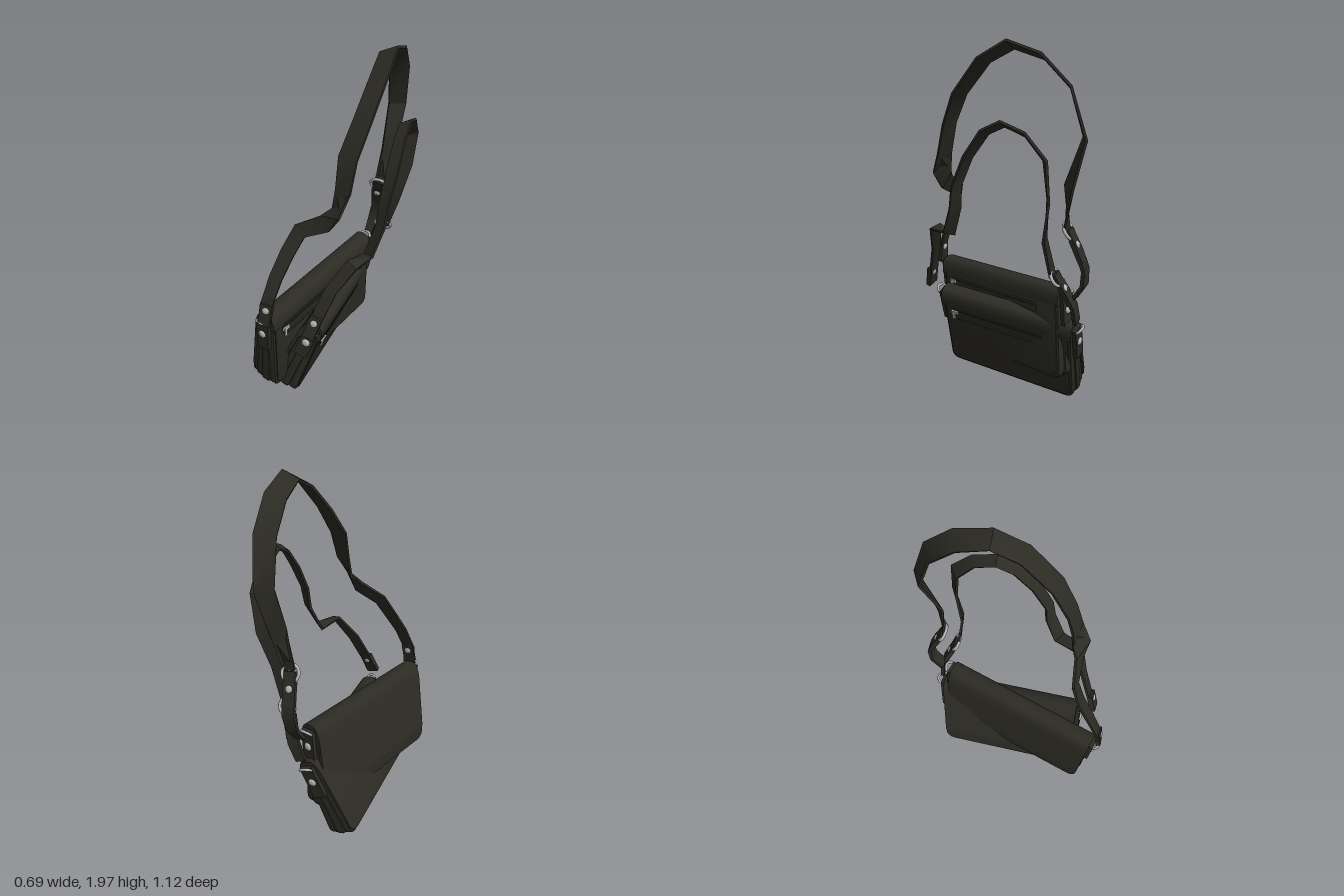
import * as THREE from 'three';
import { toCreasedNormals } from 'three/addons/utils/BufferGeometryUtils.js';

const mat = (name, color, side = THREE.FrontSide) => {
  const m = new THREE.MeshStandardMaterial({ color, side });
  m.name = name;
  return m;
};

export function createModel() {
  const leather = mat('dark olive leather', 0x2c2b24);
  const trim = mat('black trim', 0x1f1f1a);
  const metal = mat('silver metal', 0xb4b5ba);
  const strapMat = mat('dark strap webbing', 0x2b2a23, THREE.DoubleSide);
  const model = new THREE.Group();

  const add = (parent, name, geo, material, x = 0, y = 0, z = 0) => {
    const m = new THREE.Mesh(geo, material);
    m.name = name;
    m.position.set(x, y, z);
    parent.add(m);
    return m;
  };

  // Plate with rounded corners: length along z, height from y = 0, thickness along x
  const plate = (len, h, t, r, bevel = 0) => {
    const a = len / 2 - bevel, b = bevel, c = h - bevel, s = new THREE.Shape();
    s.moveTo(-a + r, b);
    s.lineTo(a - r, b);
    s.quadraticCurveTo(a, b, a, b + r);
    s.lineTo(a, c - r);
    s.quadraticCurveTo(a, c, a - r, c);
    s.lineTo(-a + r, c);
    s.quadraticCurveTo(-a, c, -a, c - r);
    s.lineTo(-a, b + r);
    s.quadraticCurveTo(-a, b, -a + r, b);
    const depth = t - 2 * bevel;
    const g = new THREE.ExtrudeGeometry(s, {
      depth, curveSegments: 4, bevelEnabled: bevel > 0,
      bevelSize: bevel, bevelThickness: bevel, bevelSegments: 2,
    });
    g.translate(0, 0, -depth / 2);
    g.rotateY(-Math.PI / 2);
    return toCreasedNormals(g, 0.6);
  };

  // One satchel, base centred at its origin, zip pocket on +x and flap on -x
  const makeBag = (name, len) => {
    const bag = new THREE.Group();
    bag.name = name;

    // Three compartments fanning out toward the base
    for (const i of [-1, 0, 1]) {
      const c = add(bag, 'compartment', plate(len - Math.abs(i) * 0.02, 0.5, 0.052, 0.035, 0.014), leather, i * 0.049);
      c.rotation.z = i * 0.055;
    }
    // Recessed gusset between the compartments
    add(bag, 'gusset', plate(len - 0.05, 0.46, 0.1, 0.03), leather, 0, 0.02);

    // Flap: one smooth cover over the top and down the back, with a rounded lower edge
    const s = new THREE.Shape();
    s.moveTo(0.062, 0.435);
    s.quadraticCurveTo(0.06, 0.5, 0.035, 0.52);
    s.quadraticCurveTo(0, 0.535, -0.035, 0.52);
    s.quadraticCurveTo(-0.064, 0.5, -0.069, 0.4);
    s.lineTo(-0.087, 0.1);
    s.lineTo(-0.07, 0.1);
    s.lineTo(-0.05, 0.4);
    s.lineTo(0.05, 0.435);
    const cover = new THREE.ExtrudeGeometry(s, { depth: len - 0.01, bevelEnabled: false, curveSegments: 6 });
    cover.translate(0, 0, -(len - 0.01) / 2);
    add(bag, 'flap', toCreasedNormals(cover, 0.7), leather);
    const edge = add(bag, 'flapLowerEdge', plate(len - 0.01, 0.25, 0.012, 0.06, 0.004), leather, -0.083, 0.02);
    edge.rotation.z = -0.06;

    // Front pocket with its zip, stitch line and pull
    const front = new THREE.Group();
    front.name = 'frontPocket';
    front.position.x = 0.075;
    front.rotation.z = 0.055;
    bag.add(front);
    add(front, 'pocketPanel', plate(len - 0.05, 0.43, 0.008, 0.04, 0.003), leather, 0.002, 0.02);
    add(front, 'zipWelt', plate(len * 0.74, 0.056, 0.012, 0.012, 0.003), leather, 0.005, 0.365, 0.04);
    add(front, 'zipSlot', plate(len * 0.71, 0.012, 0.004, 0.005), trim, 0.011, 0.4, 0.04);
    for (let i = 0; i < 30; i++)
      add(front, 'stitch', new THREE.BoxGeometry(0.003, 0.004, 0.011), trim, 0.007, 0.345, 0.04 + (i - 14.5) * len * 0.024);
    add(front, 'zipSlider', new THREE.BoxGeometry(0.012, 0.02, 0.045), metal, 0.015, 0.4, len * 0.39);
    add(front, 'zipPull', new THREE.BoxGeometry(0.008, 0.05, 0.018), metal, 0.018, 0.378, len * 0.4);

    // Riveted tab and ring on each end
    for (const e of [-1, 1]) {
      const z = e * (len / 2 + 0.006);
      add(bag, 'endTab', new THREE.BoxGeometry(0.078, 0.2, 0.024), leather, 0, 0.4, z);
      const stud = add(bag, 'tabRivet', new THREE.SphereGeometry(0.024, 10, 6), metal, 0, 0.405, z + e * 0.012);
      stud.scale.z = 0.5;
      const ring = add(bag, 'tabRing', new THREE.TorusGeometry(0.031, 0.008, 6, 14), metal, 0, 0.49, z + e * 0.014);
      ring.rotation.x = e * 0.8;
    }
    model.add(bag);
    return bag;
  };

  const tall = makeBag('uprightBag', 0.93);
  tall.position.set(-0.15, 0.185, 0.04);
  tall.rotation.set(0.02, -0.28, -0.09, 'YXZ');
  const lean = makeBag('leaningBag', 0.84);
  lean.position.set(-0.187, 0.072, 0.01);
  lean.rotation.set(-0.09, -0.02, -0.375, 'YXZ');

  // Flat strap along points [x, y, z, width, twist], its width starting out along the x axis
  const strap = (name, pts, t) => {
    const P = pts.map(p => new THREE.Vector3(p[0], p[1], p[2]));
    const pos = [], idx = [];
    P.forEach((p, i) => {
      const a = P[Math.max(i - 1, 0)], b = P[Math.min(i + 1, P.length - 1)];
      const tan = b.clone().sub(a).normalize();
      const w = new THREE.Vector3(1, 0, 0).addScaledVector(tan, -tan.x).normalize();
      w.applyAxisAngle(tan, pts[i][4] || 0);
      const n = tan.clone().cross(w);
      for (const [u, v] of [[-1, -1], [1, -1], [1, 1], [-1, 1]]) {
        const q = p.clone().addScaledVector(w, u * pts[i][3] / 2).addScaledVector(n, v * t / 2);
        pos.push(q.x, q.y, q.z);
      }
      if (i === 0) return;
      for (let k = 0; k < 4; k++) {
        const c = (i - 1) * 4 + k, d = (i - 1) * 4 + (k + 1) % 4;
        idx.push(c, d, d + 4, c, d + 4, c + 4);
      }
    });
    const e = (P.length - 1) * 4;
    idx.push(0, 2, 1, 0, 3, 2, e, e + 1, e + 2, e, e + 2, e + 3);
    const g = new THREE.BufferGeometry();
    g.setAttribute('position', new THREE.Float32BufferAttribute(pos, 3));
    g.setIndex(idx);
    add(model, name, toCreasedNormals(g, 0.5), strapMat);
  };

  // Long strap of the upright bag
  strap('uprightBagStrap', [
    [-0.22, 0.68, 0.535, 0.07], [-0.215, 0.78, 0.53, 0.065], [-0.18, 0.93, 0.46, 0.07],
    [-0.14, 1.05, 0.39, 0.075], [-0.09, 1.16, 0.34, 0.08], [0.04, 1.225, 0.33, 0.09, -0.3],
    [0.095, 1.29, 0.325, 0.1, -0.9], [0.12, 1.4, 0.29, 0.09, -0.35], [0.13, 1.56, 0.25, 0.1, -0.15],
    [0.17, 1.72, 0.16, 0.1, -0.25], [0.2, 1.89, 0, 0.1, -0.3], [0.2, 1.965, -0.15, 0.1, -0.4],
    [0.19, 1.91, -0.32, 0.11, -0.35], [0.175, 1.77, -0.46, 0.11, -0.4], [0.155, 1.53, -0.53, 0.1, -0.5],
    [0.14, 1.28, -0.445, 0.09, -0.85], [0.1, 1.06, -0.42, 0.065],
  ], 0.014);
  // Lower hanging strap of the leaning bag
  strap('leaningBagStrap', [
    [0.0, 0.6, 0.47, 0.065], [0.03, 0.7, 0.44, 0.065], [0.09, 0.86, 0.38, 0.065],
    [0.18, 1.0, 0.32, 0.07], [0.23, 0.99, 0.2, 0.07, -0.6], [0.27, 1.14, 0.135, 0.065, -0.6],
    [0.28, 1.26, 0.12, 0.06, -0.4], [0.295, 1.42, 0.04, 0.065, -0.3], [0.3, 1.55, -0.06, 0.065, -0.4],
    [0.3, 1.595, -0.16, 0.065, -0.45], [0.295, 1.55, -0.28, 0.065, -0.5], [0.28, 1.43, -0.38, 0.08, -0.6],
    [0.26, 1.23, -0.39, 0.07, -0.5], [0.21, 1.02, -0.35, 0.065, -0.2], [0.15, 0.82, -0.37, 0.06],
  ], 0.014);
  // Short lower straps joining the buckle rings to the bags
  strap('uprightBagLowerStrap', [
    [0.09, 1.06, -0.43, 0.065], [0.075, 0.95, -0.48, 0.07], [0.065, 0.85, -0.515, 0.07],
    [0.05, 0.76, -0.505, 0.07], [0.04, 0.68, -0.45, 0.065],
  ], 0.02);
  strap('leaningBagLowerStrap', [
    [0.14, 0.83, -0.38, 0.06], [0.11, 0.74, -0.42, 0.065], [0.07, 0.64, -0.46, 0.065],
    [0.03, 0.54, -0.46, 0.06],
  ], 0.02);

  // Buckle rings
  for (const [x, y, z] of [[0.09, 1.05, -0.43], [0.14, 0.81, -0.385]]) {
    const ring = add(model, 'strapRing', new THREE.TorusGeometry(0.047, 0.009, 6, 16), metal, x, y, z);
    ring.rotation.x = 0.5;
  }
  // Folded strap ends with rivets
  for (const [x, y, z, tx, tz] of [
    [-0.215, 0.735, 0.535, -0.15, -0.15], [0.015, 0.655, 0.465, -0.3, -0.3],
    [0.075, 0.95, -0.475, -0.1, 0.4], [0.1, 0.72, -0.425, -0.3, 0.4],
  ]) {
    const end = new THREE.Group();
    end.name = 'strapEnd';
    end.position.set(x, y, z);
    end.rotation.set(tz, 0, tx);
    add(end, 'strapFold', new THREE.BoxGeometry(0.066, 0.13, 0.026), leather);
    for (const s of [-1, 1])
      add(end, 'strapRivet', new THREE.SphereGeometry(0.02, 10, 6), metal, 0, 0.03, s * 0.013).scale.z = 0.4;
    model.add(end);
  }
  return model;
}
